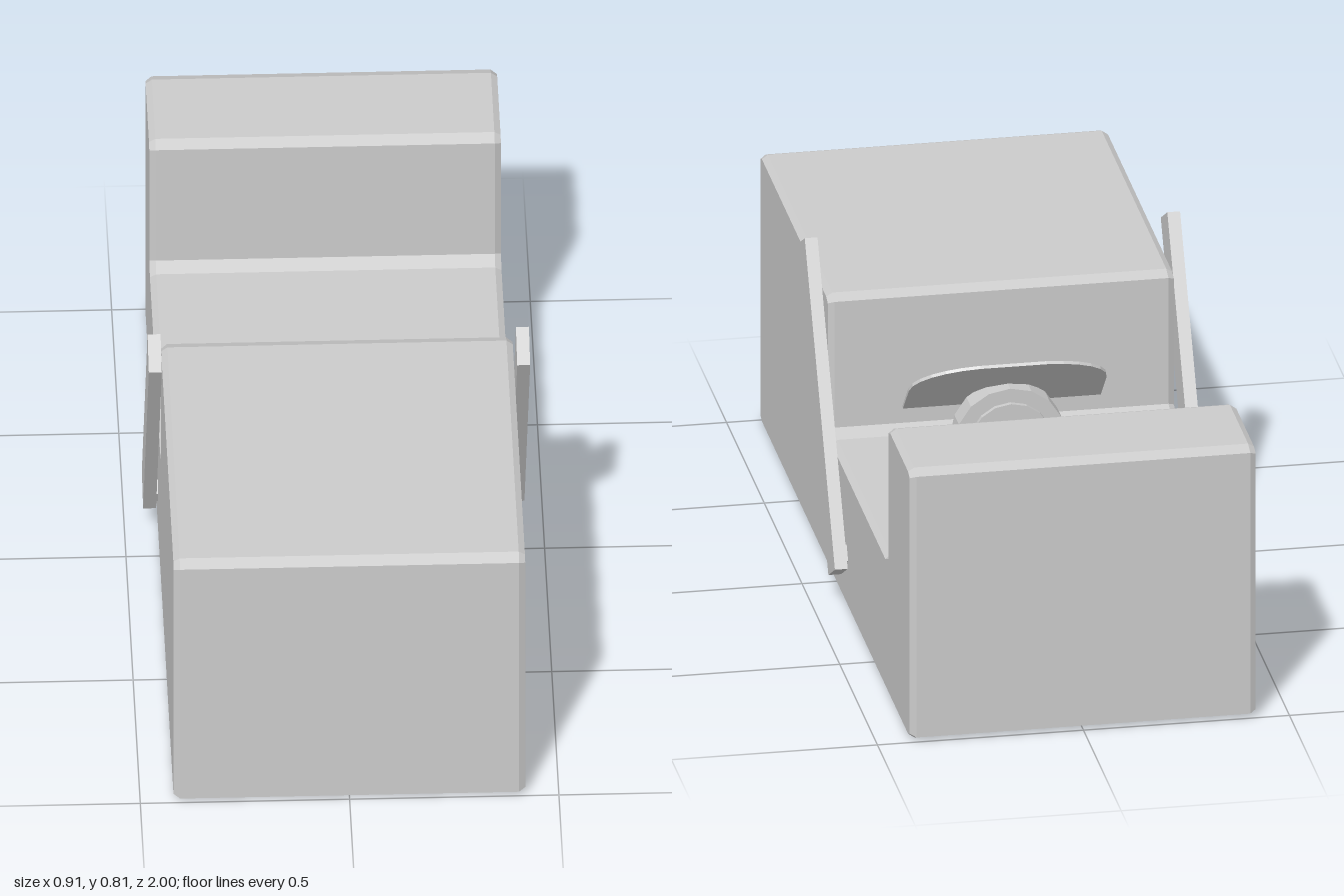
import * as THREE from 'three';

const grey = new THREE.MeshStandardMaterial({ color: 0xcccccc, flatShading: true, side: THREE.DoubleSide });

// Extrude a (z, y) side profile across x, centred on x = 0
function extrudeAcross(points, width, bevelX = 0, bevelY = 0) {
  const shape = new THREE.Shape(points.map(([z, y]) => new THREE.Vector2(-z, y)));
  const geometry = new THREE.ExtrudeGeometry(shape, {
    depth: width - 2 * bevelX, bevelEnabled: bevelX > 0, bevelSegments: 1,
    bevelThickness: bevelX, bevelSize: bevelY, bevelOffset: -bevelY,
  });
  geometry.translate(0, 0, -(width - 2 * bevelX) / 2);
  return geometry.rotateY(Math.PI / 2);
}

export function createModel() {
  const model = new THREE.Group();
  const add = (name, geometry, parent = model) => {
    const mesh = new THREE.Mesh(geometry, grey);
    mesh.name = name;
    parent.add(mesh);
    return mesh;
  };

  // Chamfered body with a recessed bay between front and rear blocks
  add('body', extrudeAcross([
    [1, 0.012], [1, 0.688], [0.97, 0.7], [0.115, 0.7], [0.085, 0.688],
    [0.085, 0.362], [0.045, 0.347], [-0.665, 0.347], [-0.7, 0.362],
    [-0.7, 0.688], [-0.73, 0.7], [-0.97, 0.7], [-1, 0.688],
    [-1, 0.012], [-0.97, 0], [0.97, 0],
  ], 0.84, 0.015, 0.01));

  // Sloping hood leaning out of the front wall of the bay
  const outline = new THREE.Shape();
  outline.moveTo(-0.24, 0);
  outline.lineTo(-0.24, 0.11);
  outline.bezierCurveTo(-0.24, 0.17, -0.17, 0.215, -0.08, 0.22);
  outline.lineTo(0.08, 0.22);
  outline.bezierCurveTo(0.17, 0.215, 0.24, 0.17, 0.24, 0.11);
  outline.lineTo(0.24, 0);
  const hood = add('hood', new THREE.ExtrudeGeometry(outline, { depth: 0.008, bevelEnabled: false, curveSegments: 6 }));
  hood.rotation.x = -Math.PI / 4;
  hood.position.set(0, 0.4, 0.082);

  // Half-round housing with stepped rear face
  const halfDisc = (name, radius, z0, z1) => {
    const geometry = new THREE.CylinderGeometry(radius, radius, z1 - z0, 8, 1, false, Math.PI / 2, Math.PI);
    geometry.rotateX(Math.PI / 2);
    add(name, geometry).position.set(0, 0.345, (z0 + z1) / 2);
  };
  halfDisc('housing', 0.135, -0.03, 0.03);
  halfDisc('housingCore', 0.1, -0.042, -0.03);

  // Wedge in front of the housing
  add('wedge', extrudeAcross([[-0.03, 0.345], [-0.03, 0.4], [-0.046, 0.4], [-0.1, 0.345]], 0.14));

  // Tilted side levers with their mounting pads
  for (const [name, side] of [['left', 1], ['right', -1]]) {
    const lever = new THREE.Group();
    lever.name = name + 'Lever';
    lever.position.set(side * 0.44, 0.435, 0.05);
    lever.rotation.x = Math.PI / 6;
    add(name + 'LeverBar', new THREE.BoxGeometry(0.031, 0.8, 0.1), lever);
    add(name + 'LeverPad', new THREE.BoxGeometry(0.02, 0.04, 0.08), lever)
      .position.set(-side * 0.02, -0.36, 0);
    model.add(lever);
  }
  return model;
}
